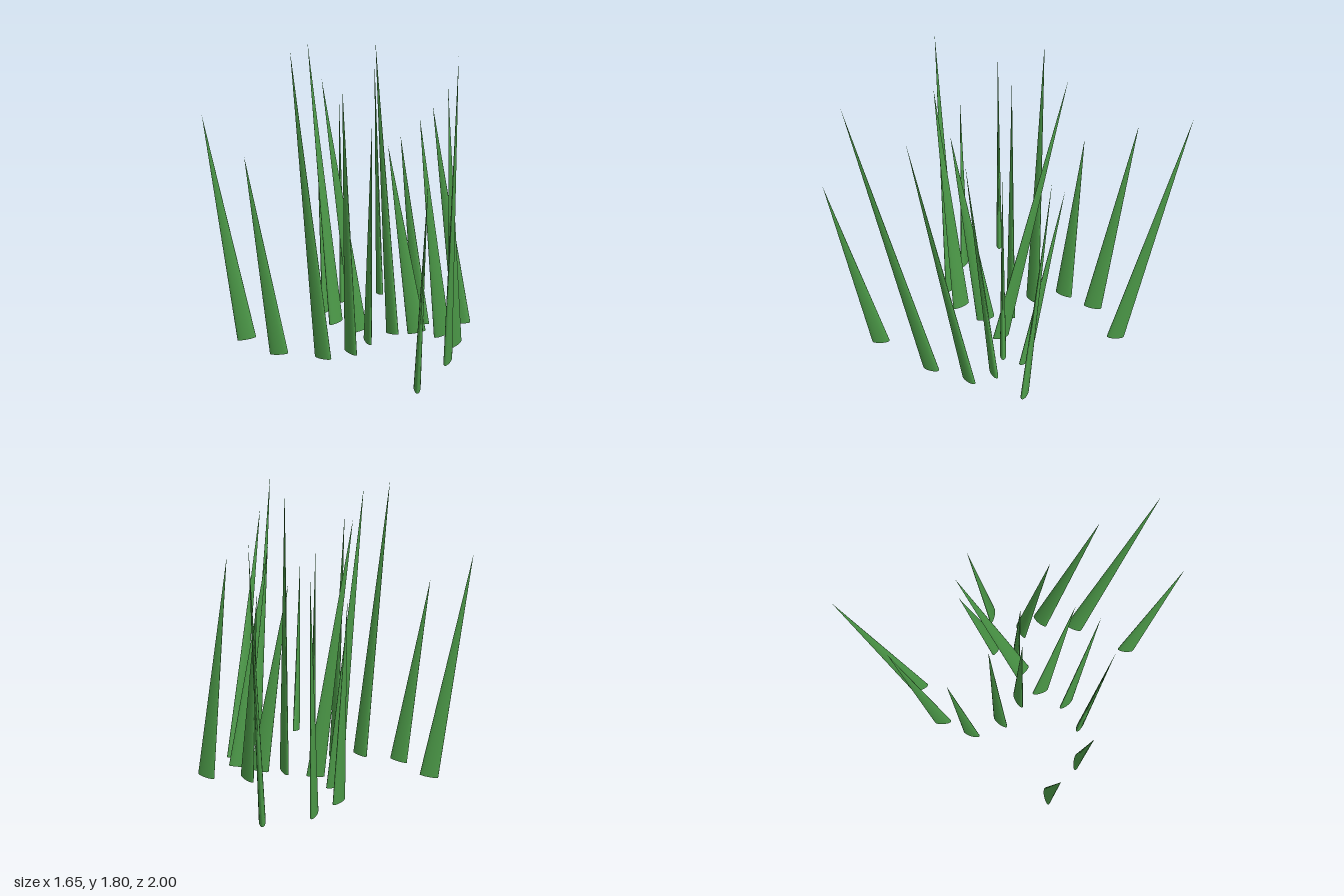
import * as THREE from 'three';

// Root x, root z, tip x, tip z of each blade
const BLADES = [
  [0.455, 0.01, 0.26, 0.01],
  [0.605, 0.07, 0.41, 0.21],
  [0.655, 0.22, 0.505, 0.505],
  [0.56, 0.45, 0.485, 0.815],
  [0.32, 0.775, 0.31, 1.0],
  [0.132, 0.115, 0.125, 0.295],
  [0.01, 0.275, -0.05, 0.385],
  [-0.16, 0.34, -0.33, 0.38],
  [-0.415, 0.255, -0.59, 0.255],
  [-0.607, 0.01, -0.83, 0.01],
  [0.095, -0.05, -0.13, -0.055],
  [-0.035, -0.2, -0.2, -0.24],
  [-0.08, -0.41, -0.13, -0.49],
  [0.045, -0.59, 0.04, -0.77],
  [0.32, -0.705, 0.31, -1.0],
  [0.3, 0.02, 0.225, -0.335],
  [0.51, -0.125, 0.39, -0.33],
  [0.77, -0.11, 0.575, -0.24],
];

export function createModel() {
  const group = new THREE.Group();
  group.name = 'grassTuft';
  const material = new THREE.MeshStandardMaterial({ color: 0x4c9a48 });
  const up = new THREE.Vector3(0, 1, 0);

  BLADES.forEach(([x, z, tipX, tipZ], i) => {
    const root = new THREE.Vector3(x, 0.01, z);
    const axis = new THREE.Vector3(tipX, 1.205 + 0.198 * (i % 4), tipZ).sub(root);
    const length = axis.length();

    // Flattened cone standing on its root, turned 20 degrees more per blade
    const blade = new THREE.ConeGeometry(0.058, length, 20, 1);
    blade.translate(0, length / 2, 0);
    blade.scale(1, 1, 0.33);
    blade.rotateY(THREE.MathUtils.degToRad(20 * i));

    // Lean towards the tip
    const mesh = new THREE.Mesh(blade, material);
    mesh.quaternion.setFromUnitVectors(up, axis.normalize());
    mesh.position.copy(root);
    mesh.name = `grassBlade${i + 1}`;
    group.add(mesh);
  });
  return group;
}
